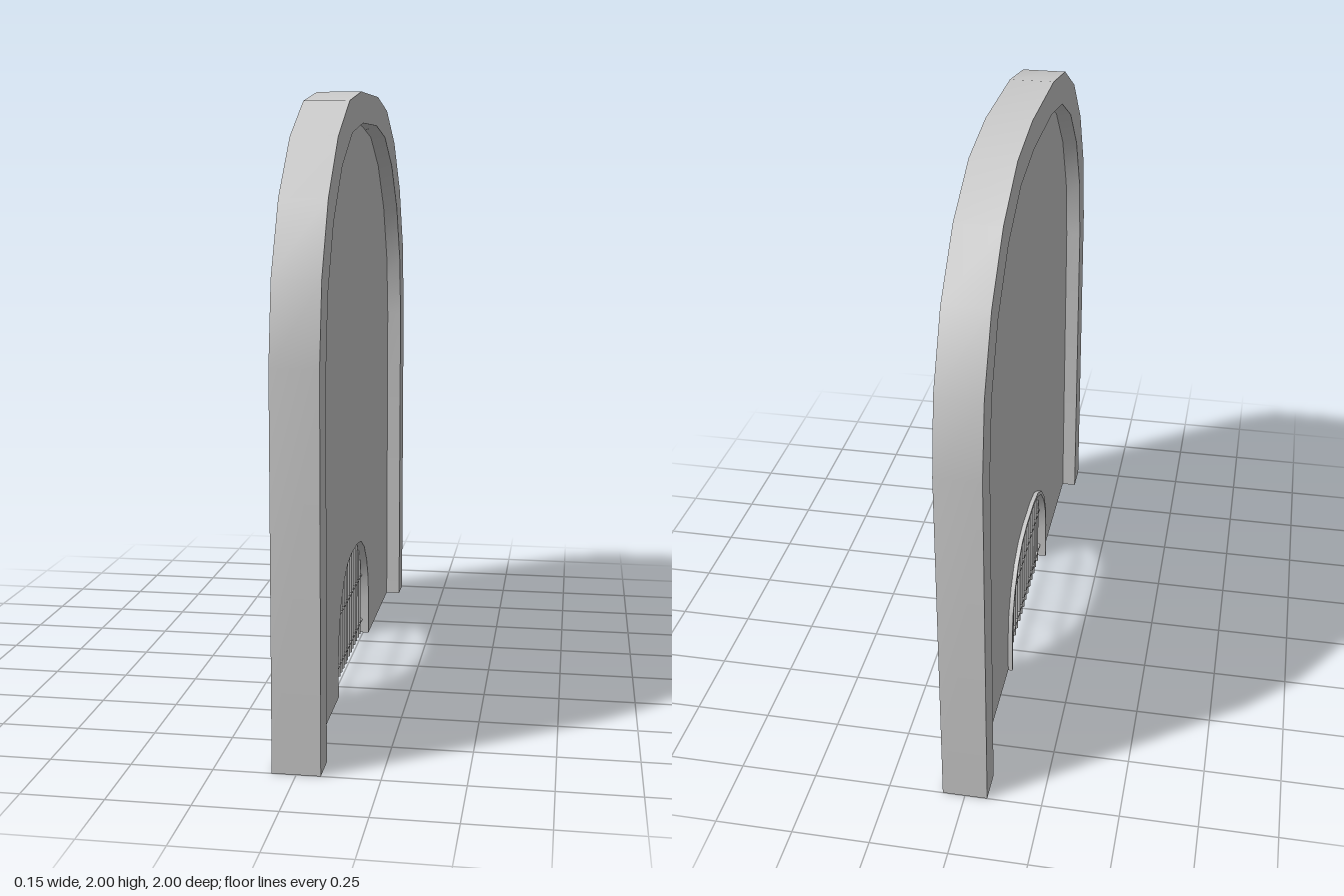
import * as THREE from 'three';
import { toCreasedNormals } from 'three/addons/utils/BufferGeometryUtils.js';

const grey = new THREE.MeshStandardMaterial({ color: 0xcccccc });

// Arch outline: straight legs, rounded corners of five segments, flat crown
function archPoints(halfWidth, height, radius) {
  const half = [[halfWidth, 0]];
  for (let i = 0; i <= 5; i++) {
    const a = (i * Math.PI) / 10;
    half.push([halfWidth - radius + radius * Math.cos(a), height - radius + radius * Math.sin(a)]);
  }
  const mirrored = half.map(([u, y]) => [-u, y]).reverse();
  return [...half, ...mirrored].map(([u, y]) => new THREE.Vector2(u, y));
}

// Extrudes the band between two arches across x, from x0 to x1
function archBand(name, outer, inner, x0, x1) {
  const shape = new THREE.Shape([...outer, ...[...inner].reverse()]);
  let geo = new THREE.ExtrudeGeometry(shape, { depth: x1 - x0, bevelEnabled: false });
  geo.translate(0, 0, x0);
  geo.rotateY(Math.PI / 2);
  geo = toCreasedNormals(geo, 0.5);
  const mesh = new THREE.Mesh(geo, grey);
  mesh.name = name;
  return mesh;
}

export function createModel() {
  const model = new THREE.Group();
  model.name = 'archedWall';

  const rimOuter = archPoints(1, 2, 0.8);
  const rimInner = archPoints(0.895, 1.9, 0.73);
  const gateOuter = archPoints(0.365, 0.435, 0.292);
  const gateInner = archPoints(0.353, 0.422, 0.283);

  // Thick outer rim, recessed wall and thin gate surround
  model.add(archBand('outerRim', rimOuter, rimInner, -0.073, 0.073));
  model.add(archBand('wallPanel', rimInner, gateOuter, -0.021, 0.021));
  model.add(archBand('gateFrame', gateOuter, gateInner, -0.036, 0.021));

  // Gate grille
  const grille = new THREE.Group();
  grille.name = 'gateGrille';
  grille.position.x = -0.008;
  model.add(grille);

  // Height of the gate opening at distance u from its middle
  const openingHeight = (u) => {
    for (let i = 1; i < 6; i++) {
      const a = gateInner[i], b = gateInner[i + 1];
      if (u <= a.x && u >= b.x) return THREE.MathUtils.mapLinear(u, a.x, b.x, a.y, b.y);
    }
    return 0.422;
  };

  // Upright bars
  for (let i = -7; i <= 7; i++) {
    const z = i * 0.0435;
    const top = openingHeight(Math.abs(z)) + 0.004;
    const bar = new THREE.Mesh(new THREE.CylinderGeometry(0.006, 0.006, top - 0.01, 8), grey);
    bar.position.set(0, (top + 0.01) / 2, z);
    bar.name = 'uprightBar';
    grille.add(bar);
  }

  // Cross bars
  for (const y of [0.05, 0.23]) {
    const length = y < 0.14 ? 0.71 : 0.69;
    const bar = new THREE.Mesh(new THREE.CylinderGeometry(0.006, 0.006, length, 8), grey);
    bar.rotation.x = Math.PI / 2;
    bar.position.y = y;
    bar.name = 'crossBar';
    grille.add(bar);
  }

  return model;
}
